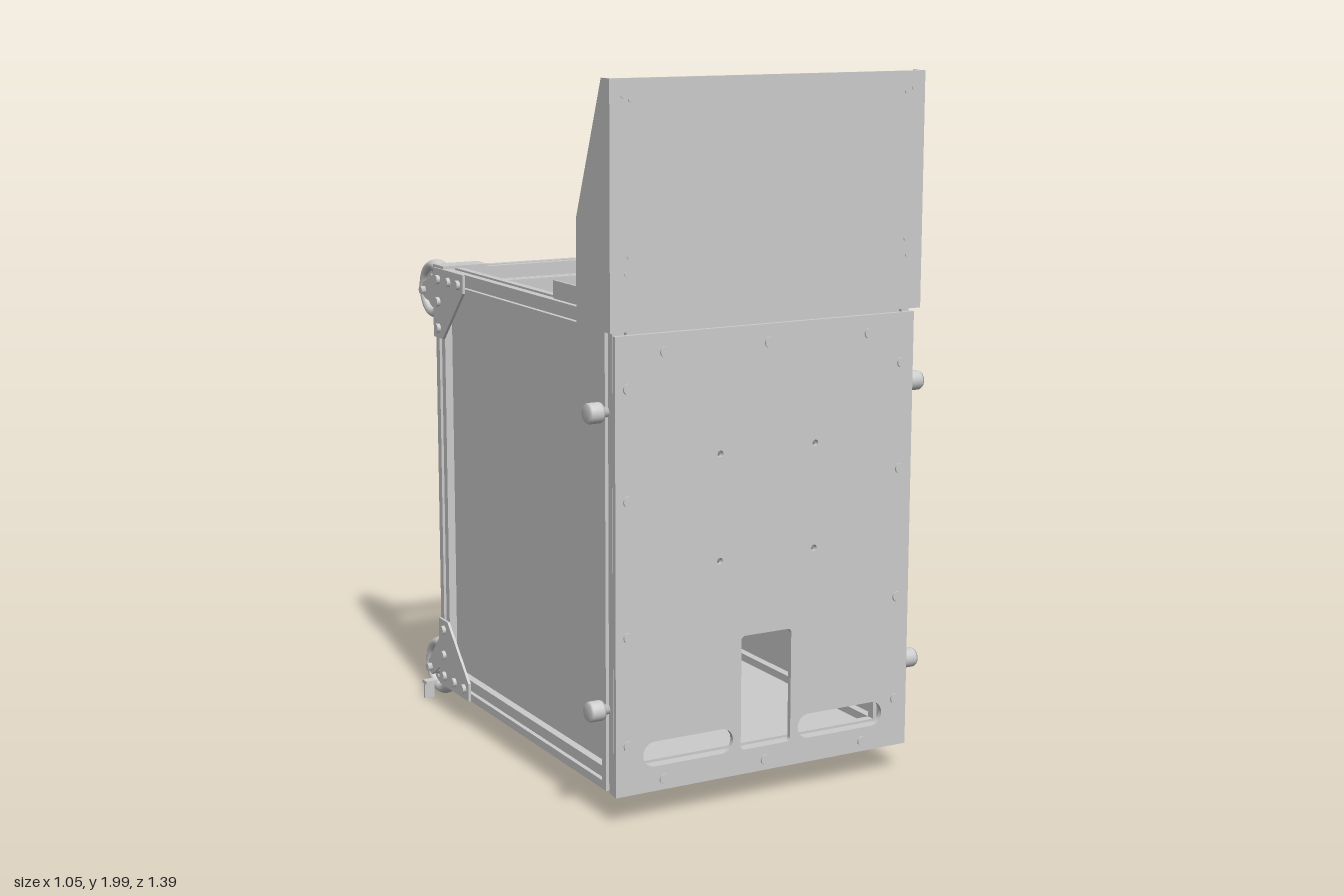
import * as THREE from 'three';

const grey = new THREE.MeshStandardMaterial({ color: 0xcccccc, side: THREE.DoubleSide });

function add(parent, name, geo, x = 0, y = 0, z = 0) {
  const m = new THREE.Mesh(geo, grey);
  m.name = name;
  m.position.set(x, y, z);
  parent.add(m);
  return m;
}

// Box given by its extents along each axis
function span(parent, name, x0, x1, y0, y1, z0, z1) {
  return add(parent, name, new THREE.BoxGeometry(Math.abs(x1 - x0), y1 - y0, z1 - z0),
    (x0 + x1) / 2, (y0 + y1) / 2, (z0 + z1) / 2);
}

const poly = pts => new THREE.Shape(pts.map(p => new THREE.Vector2(p[0], p[1])));

// Plate with a [z, y] outline, its thickness centred on x = 0
function sidePlate(pts, thick) {
  return new THREE.ExtrudeGeometry(poly(pts), { depth: thick, bevelEnabled: false })
    .translate(0, 0, -thick / 2).rotateY(-Math.PI / 2);
}

function bolt(parent, axis, r, h, x, y, z, sides = 12) {
  const g = new THREE.CylinderGeometry(r, r, h, sides);
  if (axis === 'x') g.rotateZ(Math.PI / 2);
  if (axis === 'z') g.rotateX(Math.PI / 2);
  return add(parent, 'bolt', g, x, y, z);
}

// Slotted square bar along an axis
const H = 0.0325, S = 0.009, D = 0.013;
function rail(parent, name, axis, len, x, y, z) {
  const side = [[-H, -H], [-S, -H], [-S, -H + D], [S, -H + D], [S, -H]];
  const pts = [];
  for (let i = 0; i < 4; i++) {
    const c = Math.round(Math.cos(i * Math.PI / 2)), s = Math.round(Math.sin(i * Math.PI / 2));
    side.forEach(([a, b]) => pts.push([a * c - b * s, a * s + b * c]));
  }
  const g = new THREE.ExtrudeGeometry(poly(pts), { depth: len, bevelEnabled: false }).translate(0, 0, -len / 2);
  if (axis === 'x') g.rotateY(Math.PI / 2);
  if (axis === 'y') g.rotateX(Math.PI / 2);
  add(parent, name, g, x, y, z);
}

function roundedSlot(x0, x1, y0, y1, r) {
  const p = new THREE.Path();
  p.moveTo(x0 + r, y0);
  p.lineTo(x1 - r, y0);
  p.absarc(x1 - r, y0 + r, r, -Math.PI / 2, 0);
  p.absarc(x1 - r, y1 - r, r, 0, Math.PI / 2);
  p.absarc(x0 + r, y1 - r, r, Math.PI / 2, Math.PI);
  p.absarc(x0 + r, y0 + r, r, Math.PI, Math.PI * 1.5);
  return p;
}

// Caster on the back face; its fork runs from the swivel to the wheel
function caster(x, swivelY, wheelY, brake) {
  const g = new THREE.Group();
  g.name = 'caster';
  const wz = -0.605, dy = wheelY - swivelY;
  add(g, 'swivel', new THREE.CylinderGeometry(0.045, 0.038, 0.045, 24).rotateX(Math.PI / 2), x, swivelY, -0.49);
  const tyre = [[0.058, -0.02], [0.07, -0.027], [0.082, -0.024], [0.089, -0.013], [0.091, 0],
    [0.089, 0.013], [0.082, 0.024], [0.07, 0.027], [0.058, 0.02], [0.058, -0.02]];
  add(g, 'tyre', new THREE.LatheGeometry(tyre.map(p => new THREE.Vector2(...p)), 40).rotateZ(Math.PI / 2), x, wheelY, wz);
  add(g, 'wheelDisc', new THREE.CylinderGeometry(0.06, 0.06, 0.024, 32).rotateZ(Math.PI / 2), x, wheelY, wz);
  add(g, 'hub', new THREE.CylinderGeometry(0.024, 0.024, 0.066, 20).rotateZ(Math.PI / 2), x, wheelY, wz);
  bolt(g, 'x', 0.013, 0.115, x, wheelY, wz, 6);
  for (let i = 0; i < 10; i++) {
    const a = i * Math.PI / 5;
    bolt(g, 'x', 0.006, 0.032, x, wheelY + 0.042 * Math.sin(a), wz + 0.042 * Math.cos(a), 8);
  }
  const fork = [[-0.505, 0.045], [-0.54, 0.045], [-0.62, dy + 0.02], [-0.625, dy - 0.012],
    [-0.6, dy - 0.025], [-0.53, -0.045], [-0.505, -0.045]];
  for (const s of [-1, 1]) add(g, 'fork', sidePlate(fork, 0.007), x + s * 0.04, swivelY, 0);
  span(g, 'forkBridge', x - 0.043, x + 0.043, swivelY - 0.042, swivelY + 0.042, -0.513, -0.505);
  if (brake) {
    span(g, 'brakeLever', x - 0.078, x - 0.04, 0.055, 0.065, wz + 0.01, wz + 0.04);
    span(g, 'brakePedal', x - 0.078, x - 0.046, 0.008, 0.062, wz + 0.02, wz + 0.028);
  }
  return g;
}

export function createModel() {
  const model = new THREE.Group();
  const X = 0.4325, Y0 = 0.1225, Y1 = 1.3575, ZB = -0.4325, ZF = 0.6375;

  // Slotted bar frame
  const frame = new THREE.Group();
  frame.name = 'frame';
  for (const s of [-1, 1]) {
    for (const z of [ZB, ZF]) rail(frame, 'post', 'y', 1.3, s * X, 0.74, z);
    for (const y of [Y0, Y1]) rail(frame, 'sideRail', 'z', 1.005, s * X, y, (ZB + ZF) / 2);
  }
  for (const y of [Y0, Y1]) for (const z of [ZB, ZF]) rail(frame, 'crossRail', 'x', 0.8, 0, y, z);
  model.add(frame);

  // Side and floor panels
  for (const s of [-1, 1]) span(model, 'sidePanel', s * 0.427, s * 0.438, 0.15, 1.33, -0.41, 0.615);
  span(model, 'floorPanel', -0.41, 0.41, 0.117, 0.128, -0.41, 0.615);

  // Front panel with cutouts
  const front = poly([[-0.468, 0.09], [0.468, 0.09], [0.468, 1.34], [-0.468, 1.34]]);
  front.holes.push(roundedSlot(-0.08, 0.08, 0.16, 0.485, 0.012));
  front.holes.push(roundedSlot(0.105, 0.385, 0.16, 0.23, 0.035), roundedSlot(-0.385, -0.105, 0.16, 0.23, 0.035));
  for (const x of [-0.15, 0.15]) for (const y of [0.705, 1.0]) {
    front.holes.push(new THREE.Path().absarc(x, y, 0.009, 0, Math.PI * 2));
  }
  add(model, 'frontPanel', new THREE.ExtrudeGeometry(front, { depth: 0.014, bevelEnabled: false }), 0, 0, 0.677);
  const bolts = [[0.32, 1.29], [0.43, 1.2], [0.43, 0.9], [0.43, 0.53], [0.43, 0.23], [0.32, 0.12]];
  for (const [x, y] of bolts) for (const s of [-1, 1]) bolt(model, 'z', 0.015, 0.01, s * x, y, 0.691);
  for (const y of [1.29, 0.12]) bolt(model, 'z', 0.015, 0.01, 0, y, 0.691);
  span(model, 'panelSpacer', -0.455, 0.455, 0.095, 1.33, 0.669, 0.671).visible = false;

  // Upper screen with folded wings and brackets
  const screen = new THREE.Group();
  screen.name = 'upperScreen';
  span(screen, 'screenSheet', -0.485, 0.485, 1.35, 2, 0.687, 0.696);
  const wing = [[0.694, 1.35], [0.694, 2], [0.65, 2], [0.507, 1.63], [0.507, 1.35]];
  const gusset = [[0.65, 1.43], [0.65, 1.63], [0.63, 1.63], [0.48, 1.46], [0.48, 1.43]];
  for (const s of [-1, 1]) {
    add(screen, 'wing', sidePlate(wing, 0.008), s * 0.481, 0, 0);
    span(screen, 'bracketFoot', s * 0.418, s * 0.45, 1.39, 1.405, 0.3, 0.66);
    span(screen, 'bracketFootWall', s * 0.443, s * 0.45, 1.39, 1.44, 0.3, 0.66);
    span(screen, 'bracketUpright', s * 0.415, s * 0.455, 1.39, 1.97, 0.672, 0.687);
    span(screen, 'bracketUprightWall', s * 0.447, s * 0.455, 1.39, 1.97, 0.645, 0.687);
    add(screen, 'bracketGusset', sidePlate(gusset, 0.008), s * 0.443, 0, 0);
    for (const z of [0.33, 0.42, 0.54]) bolt(screen, 'y', 0.008, 0.008, s * 0.43, 1.408, z);
    for (const [x, y] of [[0.447, 1.955], [0.425, 1.945], [0.43, 1.545], [0.437, 1.5]]) {
      bolt(screen, 'z', 0.006, 0.004, s * x, y, 0.697, 8);
    }
  }
  model.add(screen);

  // Corner plates with bolts, side knobs
  const corner = [[-0.465, 0], [-0.25, 0], [-0.25, -0.055], [-0.4, -0.21], [-0.465, -0.21]];
  const knob = [[0, 0], [0.014, 0], [0.014, 0.015], [0.026, 0.018], [0.028, 0.024], [0.028, 0.055], [0.024, 0.062], [0, 0.062]];
  for (const s of [-1, 1]) {
    for (const [y, d] of [[1.39, 1], [0.09, -1]]) {
      add(model, 'cornerPlate', sidePlate(corner.map(([z, h]) => [z, y + h * d]), 0.008), s * 0.469, 0, 0);
      for (const [z, h] of [[-0.28, 0.033], [-0.35, 0.033], [-0.425, 0.033], [-0.425, 0.1], [-0.425, 0.18]]) {
        bolt(model, 'x', 0.014, 0.016, s * 0.476, y - h * d, z);
      }
    }
    for (const y of [0.325, 1.135]) {
      const geo = new THREE.LatheGeometry(knob.map(p => new THREE.Vector2(...p)), 24).rotateZ(-s * Math.PI / 2);
      add(model, 'sideKnob', geo, s * 0.465, y, 0.64);
    }
  }

  // Casters with their mounting plates
  for (const s of [-1, 1]) {
    for (const [y0, y1] of [[0.09, 0.24], [1.25, 1.395]]) {
      span(model, 'casterPlate', s * 0.322, s * 0.468, y0, y1, -0.475, -0.465);
      for (const x of [0.34, 0.45]) for (const y of [y0 + 0.02, y1 - 0.02]) bolt(model, 'z', 0.01, 0.01, s * x, y, -0.478);
    }
    span(model, 'casterTopPlate', s * 0.322, s * 0.468, 1.39, 1.398, -0.475, -0.4);
    model.add(caster(s * 0.398, 1.31, 1.302, false), caster(s * 0.398, 0.165, 0.1, true));
  }

  // Inner back panel with two upright handles
  span(model, 'innerPanel', -0.385, 0.385, 0.55, 1.36, -0.318, -0.29);
  for (const s of [-1, 1]) {
    const path = new THREE.CatmullRomCurve3([[0.62, -0.315], [0.62, -0.35], [0.65, -0.37], [1.2, -0.37], [1.23, -0.35], [1.23, -0.315]]
      .map(([y, z]) => new THREE.Vector3(s * 0.318, y, z)), false, 'centripetal');
    add(model, 'panelHandle', new THREE.TubeGeometry(path, 48, 0.016, 10), 0, 0, 0);
    for (const y of [0.62, 1.23]) span(model, 'handleFoot', s * 0.295, s * 0.34, y - 0.03, y + 0.03, -0.328, -0.318);
  }
  return model;
}
